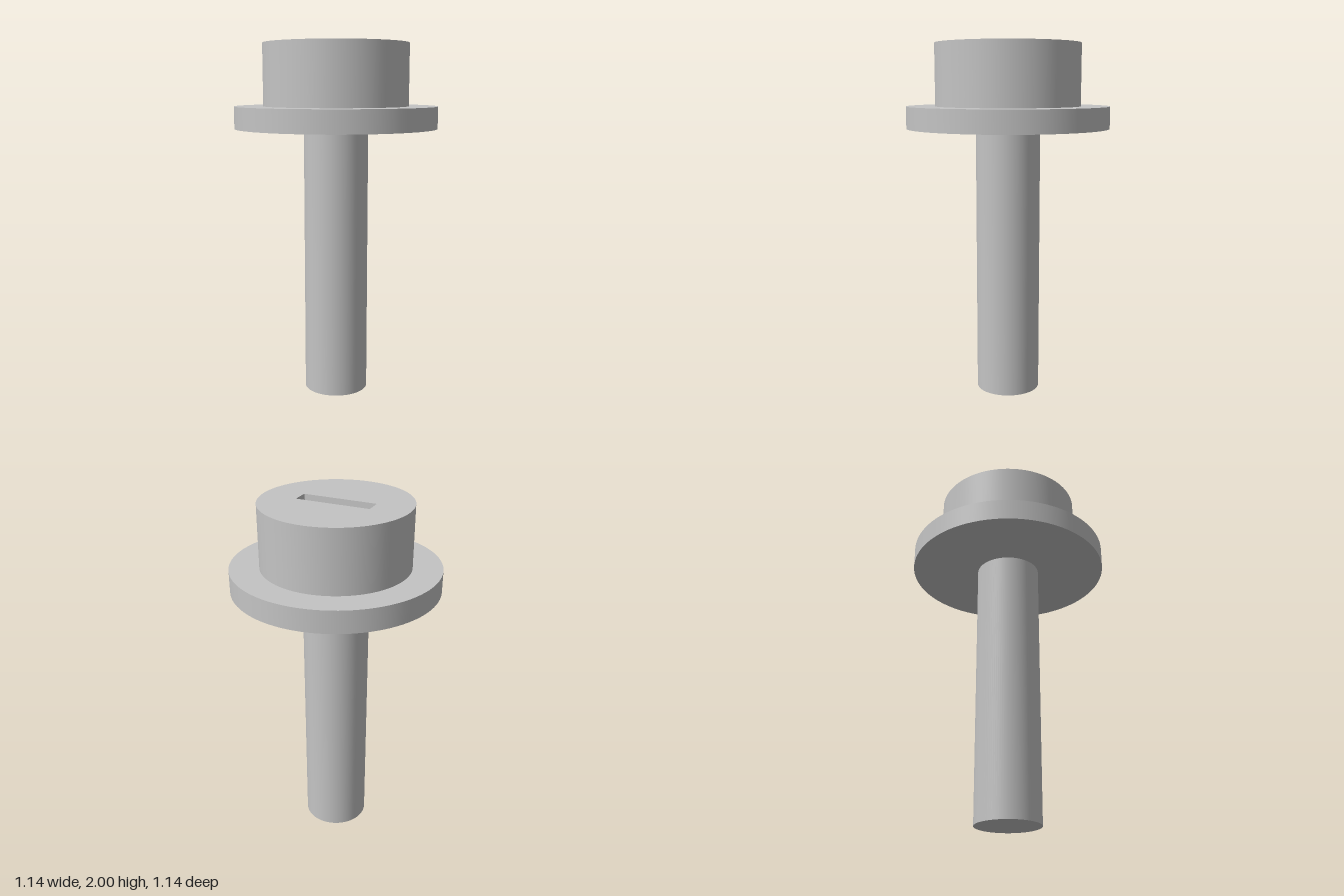
import * as THREE from 'three';

const SEG = 96;
const HEAD_R = 0.408, HEAD_BASE = 1.655, TOP = 2;
const SLOT_X = 0.206, SLOT_Z = 0.047, SLOT_R = 0.006, SLOT_DEPTH = 0.041;

// Rounded rectangle outline of the slot, counter-clockwise
function slotOutline(PathType) {
  const path = new PathType();
  const x = SLOT_X - SLOT_R, y = SLOT_Z - SLOT_R, q = Math.PI / 2;
  path.moveTo(SLOT_X, -y);
  [[x, y], [-x, y], [-x, -y], [x, -y]].forEach(([cx, cy], i) =>
    path.absarc(cx, cy, SLOT_R, i * q, (i + 1) * q, false));
  return path;
}

// Inward-facing walls of the slot
function slotWalls() {
  const pts = slotOutline(THREE.Path).getPoints(6);
  const pos = [];
  for (let i = 0; i < pts.length; i++) {
    const a = pts[i], b = pts[(i + 1) % pts.length];
    if (a.distanceTo(b) < 1e-6) continue;
    const lo = TOP - SLOT_DEPTH;
    const bL = [b.x, lo, -b.y], aL = [a.x, lo, -a.y];
    const aT = [a.x, TOP, -a.y], bT = [b.x, TOP, -b.y];
    pos.push(...bL, ...aL, ...aT, ...bL, ...aT, ...bT);
  }
  const geo = new THREE.BufferGeometry();
  geo.setAttribute('position', new THREE.Float32BufferAttribute(pos, 3));
  geo.computeVertexNormals();
  return geo;
}

// Horizontal face pointing up at height y
function flatFace(shape, y) {
  return new THREE.ShapeGeometry(shape, SEG).rotateX(-Math.PI / 2).translate(0, y, 0);
}

function cylinder(radius, y0, y1, open = false) {
  return new THREE.CylinderGeometry(radius, radius, y1 - y0, SEG, 1, open)
    .translate(0, (y0 + y1) / 2, 0);
}

export function createModel() {
  const steel = new THREE.MeshStandardMaterial({ color: 0xc4c4c4 });
  steel.name = 'steel grey';
  const model = new THREE.Group();
  model.name = 'flangedBolt';

  const add = (parent, name, geometry) => {
    const mesh = new THREE.Mesh(geometry, steel);
    mesh.name = name;
    parent.add(mesh);
  };

  add(model, 'shaft', cylinder(0.182, 0, 1.532));
  add(model, 'flange', cylinder(0.57, 1.532, HEAD_BASE));

  // Head with a shallow driver slot cut in its top
  const head = new THREE.Group();
  head.name = 'head';
  model.add(head);
  const disc = new THREE.Shape().absarc(0, 0, HEAD_R, 0, Math.PI * 2, false);
  disc.holes.push(slotOutline(THREE.Path));
  add(head, 'headSide', cylinder(HEAD_R, HEAD_BASE, TOP, true));
  add(head, 'headTop', flatFace(disc, TOP));
  add(head, 'slotWalls', slotWalls());
  add(head, 'slotFloor', flatFace(slotOutline(THREE.Shape), TOP - SLOT_DEPTH));

  return model;
}
